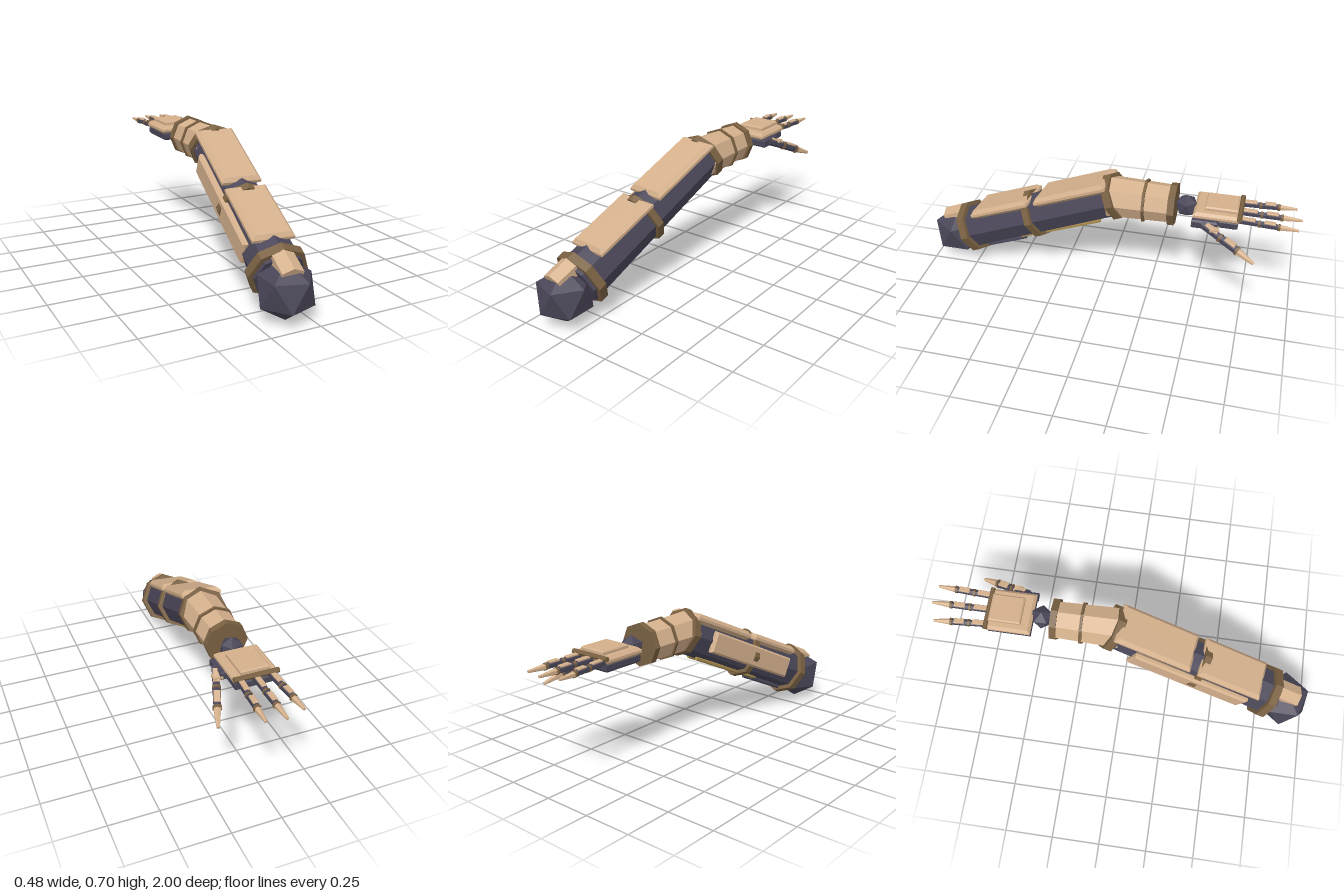
import * as THREE from 'three';

const mat = (name, color) => {
  const m = new THREE.MeshStandardMaterial({ color, flatShading: true });
  m.name = name;
  return m;
};

export function createModel() {
  const tan = mat('tan plating', 0xd4b08c);
  const dark = mat('dark frame', 0x4a4658);
  const brown = mat('brown bands', 0x7a6142);
  const gold = mat('gold rods', 0xa88a4c);

  const model = new THREE.Group();
  model.name = 'mechanicalArm';

  const add = (parent, name, geometry, material, x = 0, y = 0, z = 0) => {
    const mesh = new THREE.Mesh(geometry, material);
    mesh.name = name;
    mesh.position.set(x, y, z);
    parent.add(mesh);
    return mesh;
  };

  // Octagonal tube lying along z; rBack is the radius at the -z end, a corner points up
  const tube = (rFront, rBack, length, sides = 8) =>
    new THREE.CylinderGeometry(rFront, rBack, length, sides).rotateX(Math.PI / 2);

  // Box with all edges chamfered by c
  const chamferBox = (w, h, d, c) => {
    const a = w / 2 - c, b = d / 2 - c;
    const shape = new THREE.Shape([[-a, -b], [a, -b], [a, b], [-a, b]].map(p => new THREE.Vector2(...p)));
    return new THREE.ExtrudeGeometry(shape, {
      depth: h - 2 * c, bevelEnabled: true, bevelSize: c, bevelThickness: c, bevelSegments: 1,
    }).translate(0, 0, c - h / 2).rotateX(-Math.PI / 2);
  };

  // Faceted ball joints
  const ball = (name, r, x, y, z) => {
    add(model, name, new THREE.IcosahedronGeometry(r), dark, x, y, z).rotation.z = -0.5536;
  };
  ball('shoulderBall', 0.145, -0.105, 0.148, 0.876);
  ball('wristBall', 0.06, 0.01, 0.582, -0.43);

  // Sloping upper arm, running along local -z from the shoulder collar
  const arm = new THREE.Group();
  arm.name = 'upperArm';
  arm.position.set(-0.09, 0.2, 0.77);
  arm.rotation.set(0.426, -0.113, 0, 'YXZ');
  model.add(arm);

  add(arm, 'armCore', tube(0.124, 0.106, 0.97), dark, 0, 0, -0.445);
  [['shoulderCollar', 0.147, 0.045, 0], ['middleBand', 0.136, 0.038, 0.43], ['elbowBand', 0.124, 0.043, 0.923]]
    .forEach(([name, r, t, s]) => add(arm, name, tube(r, r, t), brown, 0, 0, -s));

  // Armour plates on top and on the outer side
  add(arm, 'lowerTopPlate', chamferBox(0.21, 0.05, 0.37, 0.018), tan, 0, 0.1, -0.27).rotation.x = -0.015;
  add(arm, 'upperTopPlate', chamferBox(0.205, 0.05, 0.43, 0.018), tan, 0, 0.092, -0.715).rotation.x = -0.01;
  add(arm, 'sidePlate', chamferBox(0.115, 0.035, 0.67, 0.01), tan, -0.108, 0, -0.455).rotation.z = Math.PI / 2;

  // Ridged shoulder cap
  const ridge = new THREE.Shape([[-0.052, 0.07], [0.052, 0.07], [0.052, 0.122], [0, 0.146], [-0.052, 0.122]]
    .map(p => new THREE.Vector2(...p)));
  add(arm, 'shoulderCap', new THREE.ExtrudeGeometry(ridge, { depth: 0.12, bevelEnabled: false }), tan, -0.004, 0, 0.02);

  // Rods along the underside
  for (const side of [-1, 1]) {
    add(arm, 'goldRod', tube(0.01, 0.01, 0.51, 6), gold, side * 0.03, -0.108, -0.535);
    add(arm, 'darkRod', tube(0.011, 0.011, 0.26, 6), dark, side * 0.03, -0.119, -0.175);
  }

  // Level forearm
  add(model, 'forearm', tube(0.108, 0.098, 0.33), tan, 0.008, 0.58, -0.195);
  add(model, 'forearmBand', tube(0.112, 0.112, 0.014), brown, 0.008, 0.58, -0.22);
  add(model, 'wristFlange', tube(0.11, 0.11, 0.034), brown, 0.01, 0.58, -0.36);

  // Palm
  const hand = new THREE.Group();
  hand.name = 'hand';
  model.add(hand);
  add(hand, 'palmBase', chamferBox(0.2, 0.045, 0.22, 0.01), dark, 0.01, 0.558, -0.585);
  add(hand, 'palmShell', chamferBox(0.22, 0.04, 0.225, 0.014), tan, 0.01, 0.593, -0.585);
  add(hand, 'palmPlate', chamferBox(0.145, 0.03, 0.165, 0.007), tan, 0.01, 0.618, -0.607);
  add(hand, 'knuckleBar', new THREE.CylinderGeometry(0.013, 0.013, 0.222, 6).rotateZ(Math.PI / 2), brown, 0.01, 0.604, -0.7);
  add(hand, 'thumbMount', chamferBox(0.035, 0.045, 0.13, 0.008), dark, 0.122, 0.56, -0.535);
  add(hand, 'thumbMountPlate', new THREE.BoxGeometry(0.045, 0.012, 0.04), tan, 0.15, 0.556, -0.585);

  // Jointed digit from base to tip
  const digit = (name, base, tip, r) => {
    const g = new THREE.Group();
    g.name = name;
    const from = new THREE.Vector3(...base), to = new THREE.Vector3(...tip);
    const L = from.distanceTo(to);
    g.position.copy(from);
    g.lookAt(to);
    hand.add(g);
    [[0, 0.36], [0.38, 0.68]].forEach(([a, b]) => {
      const len = (b - a) * L, mid = (a + b) / 2 * L;
      add(g, 'digitSegment', tube(r * 0.92, r, len, 6), dark, 0, 0, mid);
      add(g, 'digitPlate', chamferBox(r * 1.5, r * 0.6, len * 0.62, r * 0.15), tan, 0, r * 0.92, mid);
      add(g, 'digitJoint', tube(r * 1.12, r * 1.12, 0.013, 6), brown, 0, 0, b * L);
    });
    add(g, 'digitTip', tube(r * 0.4, r * 0.95, L * 0.31, 6), tan, 0, 0, L * 0.845);
  };
  digit('outerFinger', [-0.068, 0.583, -0.69], [-0.086, 0.578, -0.97], 0.017);
  digit('middleFinger', [0.01, 0.583, -0.69], [0.01, 0.578, -1.0], 0.017);
  digit('innerFinger', [0.086, 0.583, -0.69], [0.102, 0.578, -0.985], 0.017);
  digit('thumb', [0.13, 0.565, -0.52], [0.233, 0.443, -0.795], 0.021);

  return model;
}
